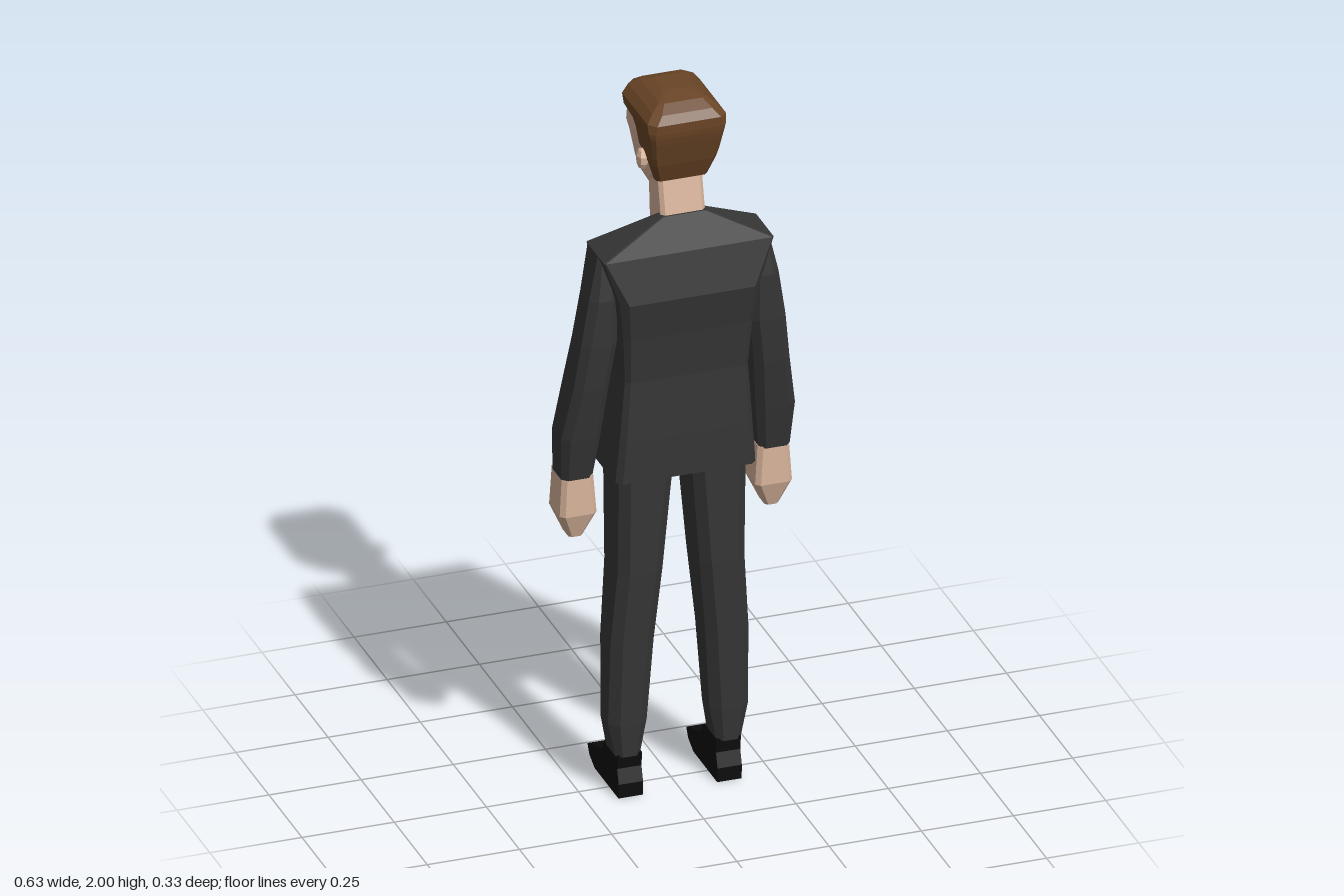
import * as THREE from 'three';

const mat = (color, side = THREE.FrontSide) =>
  new THREE.MeshStandardMaterial({ color, flatShading: true, side });
const SUIT = mat(0x363636), SKIN = mat(0xd6b29a), HAIR = mat(0x6a4526), SHOE = mat(0x0d0d0d);
const SHIRT = mat(0xdcdcdc, THREE.DoubleSide), TIE = mat(0xb02a2a, THREE.DoubleSide);

// Joins chamfered rectangles, rows listed upward: [y, xMin, xMax, zFront, zBack, chamfer]
function loft(rows) {
  const pos = [], idx = [];
  for (const [y, x0, x1, z0, z1, c = 0.01] of rows) {
    for (const [x, z] of [
      [x0, z1 - c], [x0 + c, z1], [x1 - c, z1], [x1, z1 - c],
      [x1, z0 + c], [x1 - c, z0], [x0 + c, z0], [x0, z0 + c],
    ]) pos.push(x, y, z);
  }
  const last = (rows.length - 1) * 8;
  for (let r = 0; r < last; r += 8) {
    for (let i = 0; i < 8; i++) {
      const a = r + i, b = r + (i + 1) % 8;
      idx.push(a, b, b + 8, a, b + 8, a + 8);
    }
  }
  for (let i = 1; i < 7; i++) idx.push(0, i + 1, i, last, last + i, last + i + 1);
  return fromArrays(pos, idx);
}

function fromArrays(pos, idx) {
  const g = new THREE.BufferGeometry();
  g.setAttribute('position', new THREE.Float32BufferAttribute(pos, 3));
  g.setIndex(idx);
  g.computeVertexNormals();
  return g;
}

// Rows given by half width, centred on x = 0: [y, halfWidth, zFront, zBack, chamfer]
const centred = rows => loft(rows.map(([y, w, ...rest]) => [y, -w, w, ...rest]));

// Swaps a row's x range over to the other side of the body
const onSide = (rows, s) =>
  rows.map(([y, a, b, ...rest]) => (s > 0 ? [y, a, b, ...rest] : [y, -b, -a, ...rest]));

const torsoRows = [
  [0.93, 0.19, -0.06, 0.125, 0.015],
  [1.05, 0.18, -0.08, 0.13, 0.015],
  [1.22, 0.167, -0.093, 0.13, 0.012],
  [1.35, 0.175, -0.083, 0.145, 0.015],
  [1.46, 0.19, -0.055, 0.165, 0.02],
  [1.58, 0.23, 0, 0.14, 0.004],
  [1.67, 0.06, 0.075, 0.105, 0.004],
];

// Depth of the jacket front at a given height
function frontZ(y) {
  const i = torsoRows.findIndex(r => r[0] >= y);
  const [a, b] = [torsoRows[i - 1], torsoRows[i]];
  return THREE.MathUtils.lerp(a[2], b[2], (y - a[0]) / (b[0] - a[0]));
}

// Thin strip lying on the jacket front: rows [y, halfWidth]
function frontStrip(rows, gap) {
  const pos = [], idx = [];
  rows.forEach(([y, w], i) => {
    const z = frontZ(y) - gap;
    pos.push(-w, y, z, w, y, z);
    if (i) idx.push(2 * i - 2, 2 * i, 2 * i - 1, 2 * i - 1, 2 * i, 2 * i + 1);
  });
  return fromArrays(pos, idx);
}

const armRows = [
  [0.925, 0.225, 0.31, -0.045, 0.05, 0.015],
  [1.05, 0.21, 0.317, -0.035, 0.075, 0.02],
  [1.2, 0.197, 0.293, -0.02, 0.1, 0.02],
  [1.33, 0.18, 0.277, 0.005, 0.115, 0.02],
  [1.46, 0.18, 0.257, 0.012, 0.118, 0.02],
  [1.58, 0.19, 0.23, 0.002, 0.1, 0.01],
];
const handRows = [
  [0.75, 0.247, 0.285, -0.03, 0.027, 0.008],
  [0.82, 0.215, 0.315, -0.054, 0.05, 0.012],
  [0.93, 0.223, 0.308, -0.053, 0.046, 0.012],
];
const legRows = [
  [0.115, 0.103, 0.17, -0.03, 0.07, 0.015],
  [0.21, 0.085, 0.19, -0.027, 0.08, 0.025],
  [0.44, 0.07, 0.187, -0.037, 0.09, 0.025],
  [0.65, 0.05, 0.172, -0.048, 0.102, 0.025],
  [0.95, 0.025, 0.172, -0.058, 0.112, 0.025],
];

// Shoe side profile, toe pointing to -z
function shoeGeometry() {
  const outline = [
    [-0.07, 0], [0.11, 0], [0.15, 0.02], [0.165, 0.045], [0.13, 0.06],
    [0.065, 0.078], [0.03, 0.12], [-0.065, 0.12], [-0.06, 0.08], [-0.072, 0.04],
  ].map(p => new THREE.Vector2(...p));
  const g = new THREE.ExtrudeGeometry(new THREE.Shape(outline), { depth: 0.066, bevelEnabled: false });
  return g.translate(0, 0, -0.033).rotateY(Math.PI / 2);
}

export function createModel() {
  const model = new THREE.Group();
  model.name = 'suitedMan';
  const add = (name, geometry, material) => {
    const mesh = new THREE.Mesh(geometry, material);
    mesh.name = name;
    model.add(mesh);
    return mesh;
  };

  // Jacket, shirt and tie
  add('jacket', centred(torsoRows), SUIT);
  add('shirt', frontStrip([[1.39, 0], [1.46, 0.02], [1.58, 0.048], [1.645, 0.062]], 0.003), SHIRT);
  add('tie', frontStrip([[1.43, 0], [1.46, 0.012], [1.58, 0.027], [1.61, 0.03]], 0.006), TIE);

  // Neck and head
  add('neck', centred([
    [1.55, 0.058, 0.002, 0.1],
    [1.67, 0.06, -0.004, 0.1],
    [1.8, 0.06, -0.012, 0.07],
  ]), SKIN);
  add('head', centred([
    [1.69, 0.038, -0.06, -0.025],
    [1.73, 0.06, -0.072, 0.01],
    [1.77, 0.072, -0.08, 0.06],
    [1.84, 0.084, -0.088, 0.08],
    [1.865, 0.088, -0.102, 0.09],
    [1.92, 0.088, -0.092, 0.1],
    [1.95, 0.08, -0.075, 0.1],
  ]), SKIN);
  add('nose', centred([
    [1.785, 0.012, -0.1, -0.07, 0.004],
    [1.8, 0.017, -0.117, -0.07, 0.007],
    [1.87, 0.008, -0.1, -0.07, 0.004],
  ]), SKIN);

  // Hair: low at the nape, reaching forward above the brow
  add('hair', centred([
    [1.765, 0.07, 0.055, 0.09],
    [1.82, 0.086, 0.05, 0.112],
    [1.845, 0.091, 0.005, 0.12],
    [1.89, 0.097, -0.004, 0.133],
    [1.91, 0.1, -0.02, 0.138],
    [1.925, 0.105, -0.078, 0.14, 0.015],
    [1.95, 0.106, -0.093, 0.14, 0.02],
    [1.972, 0.088, -0.096, 0.125, 0.02],
    [1.99, 0.062, -0.07, 0.095, 0.01],
    [2.0, 0.034, -0.04, 0.045, 0.01],
  ]), HAIR);

  // Paired parts
  for (const [side, s] of [['left', 1], ['right', -1]]) {
    add(side + 'Sleeve', loft(onSide(armRows, s)), SUIT);
    add(side + 'Hand', loft(onSide(handRows, s)), SKIN);
    add(side + 'TrouserLeg', loft(onSide(legRows, s)), SUIT);
    add(side + 'Shoe', shoeGeometry(), SHOE).position.x = s * 0.134;
    const ear = add(side + 'Ear', new THREE.SphereGeometry(1, 7, 5), SKIN);
    ear.scale.set(0.016, 0.03, 0.024);
    ear.position.set(s * 0.093, 1.815, 0.042);
  }
  return model;
}
